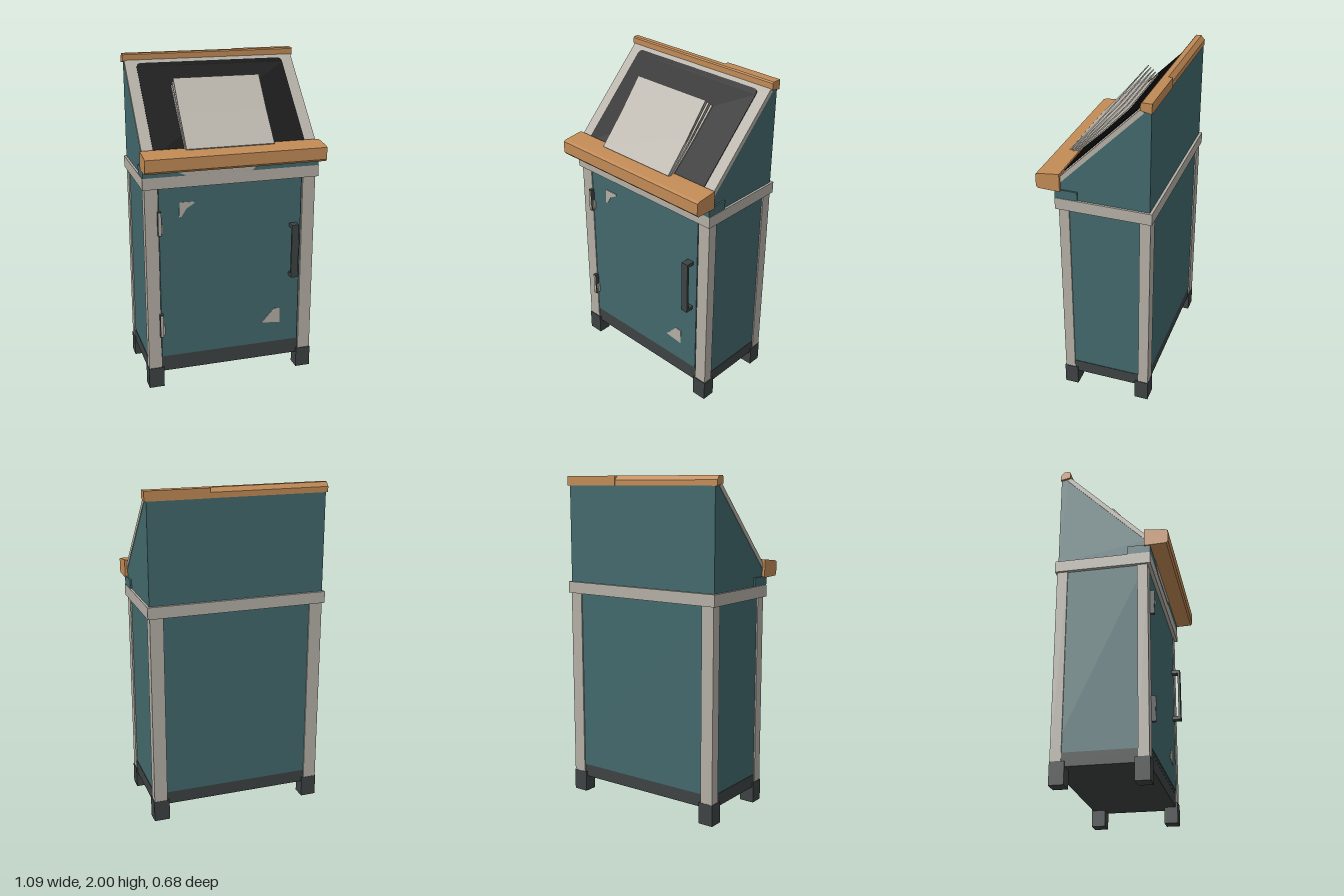
import * as THREE from 'three';

const mat = (name, color) => {
  const m = new THREE.MeshStandardMaterial({ color });
  m.name = name;
  return m;
};

export function createModel() {
  const root = new THREE.Group();
  root.name = 'lectern';
  const teal = mat('teal paint', 0x42686b);
  const cream = mat('worn cream metal', 0xb3aea5);
  const wood = mat('wood', 0xc08a55);
  const dark = mat('dark metal', 0x3d4242);
  const black = mat('black screen', 0x060606);
  const paper = mat('paper', 0xb9b4ab);

  const add = (name, geo, material, parent = root) => {
    const m = new THREE.Mesh(geo, material);
    m.name = name;
    parent.add(m);
    return m;
  };
  // Box given by its limits on each axis
  const box = (name, material, x0, x1, y0, y1, z0, z1, parent) => {
    const g = new THREE.BoxGeometry(x1 - x0, y1 - y0, z1 - z0);
    g.translate((x0 + x1) / 2, (y0 + y1) / 2, (z0 + z1) / 2);
    return add(name, g, material, parent);
  };
  const shapeOf = pts => new THREE.Shape(pts.map(p => new THREE.Vector2(...p)));
  // Side profile of [z, y] points, extruded from x0 to x1
  const profile = (name, material, pts, x0, x1) => {
    const g = new THREE.ExtrudeGeometry(shapeOf(pts.map(([z, y]) => [-z, y])), { depth: x1 - x0, bevelEnabled: false });
    g.rotateY(Math.PI / 2).translate(x0, 0, 0);
    return add(name, g, material);
  };
  // Thin plate of [x, y] points facing the front
  const plate = (name, material, pts, z, depth = 0.004, parent) => {
    const g = new THREE.ExtrudeGeometry(shapeOf(pts), { depth, bevelEnabled: false });
    g.translate(0, 0, z);
    return add(name, g, material, parent);
  };

  // Feet and corner posts
  for (const s of [-1, 1]) {
    for (const [z0, z1] of [[0.137, 0.221], [-0.326, -0.242]]) {
      const x0 = s < 0 ? -0.533 : 0.438;
      box('foot', dark, x0, x0 + 0.095, 0, 0.13, z0, z1);
    }
    const px = s < 0 ? -0.53 : 0.45;
    box('frontPost', cream, px, px + 0.08, 0.13, 1.29, 0.155, 0.216);
    box('backPost', cream, px, px + 0.08, 0.13, 1.29, -0.325, -0.262);
  }

  // Cabinet
  box('plinth', dark, -0.525, 0.525, 0.1, 0.178, -0.316, 0.208);
  box('cabinetBody', teal, -0.522, 0.522, 0.178, 1.29, -0.317, 0.2);
  box('doorSill', dark, -0.45, 0.45, 0.178, 0.2, 0.19, 0.209);
  box('door', teal, -0.446, 0.442, 0.202, 1.282, 0.19, 0.213);
  box('topBand', cream, -0.543, 0.543, 1.286, 1.356, -0.336, 0.234);

  // Worn paint on the door
  plate('upperWornPatch', cream, [[-0.322, 1.19], [-0.325, 1.1], [-0.312, 1.1], [-0.28, 1.15], [-0.23, 1.18], [-0.23, 1.19]], 0.212);
  plate('lowerWornPatch', cream, [[0.2, 0.345], [0.32, 0.332], [0.32, 0.43], [0.28, 0.432]], 0.212);

  // Hinges
  for (const y of [0.345, 1.0]) {
    box('hingeLeaf', dark, -0.458, -0.438, y, y + 0.148, 0.205, 0.24);
    box('hingeFace', cream, -0.456, -0.44, y + 0.005, y + 0.143, 0.239, 0.242);
    box('hingePlate', cream, -0.438, -0.428, y + 0.01, y + 0.07, 0.21, 0.232);
  }

  // Door handle
  box('handleGrip', dark, 0.37, 0.415, 0.652, 0.996, 0.252, 0.266);
  for (const y of [0.652, 0.974])
    box('handleMount', dark, 0.37, 0.415, y, y + 0.022, 0.21, 0.253);

  // Sloping upper housing
  profile('upperHousing', teal, [[0.215, 1.35], [0.215, 1.45], [-0.28, 1.95], [-0.32, 1.95], [-0.32, 1.35]], -0.53, 0.53);
  box('housingLip', teal, -0.54, 0.54, 1.356, 1.41, 0.1, 0.234);
  plate('wornFrontPatch', cream, [[-0.4, 1.403], [-0.28, 1.357], [0.12, 1.357], [0.165, 1.403]], 0.233);

  // Sloping desk with a black, round-cornered panel
  const desk = new THREE.Group();
  desk.name = 'desk';
  desk.position.set(0, 1.48, 0.212);
  desk.rotation.x = -Math.atan2(0.48, 0.485);
  root.add(desk);
  box('deskFrame', cream, -0.533, 0.533, -0.02, 0.675, -0.027, 0, desk);
  const screen = new THREE.Shape();
  screen.moveTo(-0.465, 0);
  screen.lineTo(0.463, 0);
  screen.lineTo(0.463, 0.615);
  screen.quadraticCurveTo(0.463, 0.648, 0.43, 0.648);
  screen.lineTo(-0.432, 0.648);
  screen.quadraticCurveTo(-0.465, 0.648, -0.465, 0.615);
  add('deskPanel', new THREE.ExtrudeGeometry(screen, { depth: 0.004, bevelEnabled: false }), black, desk);

  // Wooden rails, the top one bevelled along part of its back
  profile('frontRail', wood, [[0.2, 1.402], [0.33, 1.405], [0.341, 1.418], [0.341, 1.49], [0.325, 1.497], [0.215, 1.51], [0.2, 1.51]], -0.547, 0.547);
  const railFront = [[-0.263, 1.955], [-0.263, 1.993], [-0.27, 2]];
  profile('topRail', wood, [[-0.322, 1.943], ...railFront, [-0.3, 2], [-0.322, 1.975]], -0.543, 0.17);
  profile('topRailEnd', wood, [[-0.326, 1.943], ...railFront, [-0.326, 2]], 0.17, 0.543);

  // Stack of sheets fanning out at the top
  const sheets = 5;
  for (let i = 0; i < sheets; i++) {
    const t = i / (sheets - 1);
    const b = [0.215 + 0.035 * t, 1.497 + 0.014 * t];
    const e = [-0.112 + 0.06 * t, 1.822 + 0.048 * t];
    const mid = [(b[0] + e[0]) / 2 - 0.004, (b[1] + e[1]) / 2 - 0.004];
    const h = 0.005;
    profile('sheet', paper, [b, [b[0] + h, b[1] + h], [mid[0] + h, mid[1] + h], [e[0] + h, e[1] + h], e, mid],
      -0.284 + 0.004 * (i % 2), 0.244 + 0.004 * ((i + 1) % 2));
  }
  return root;
}
